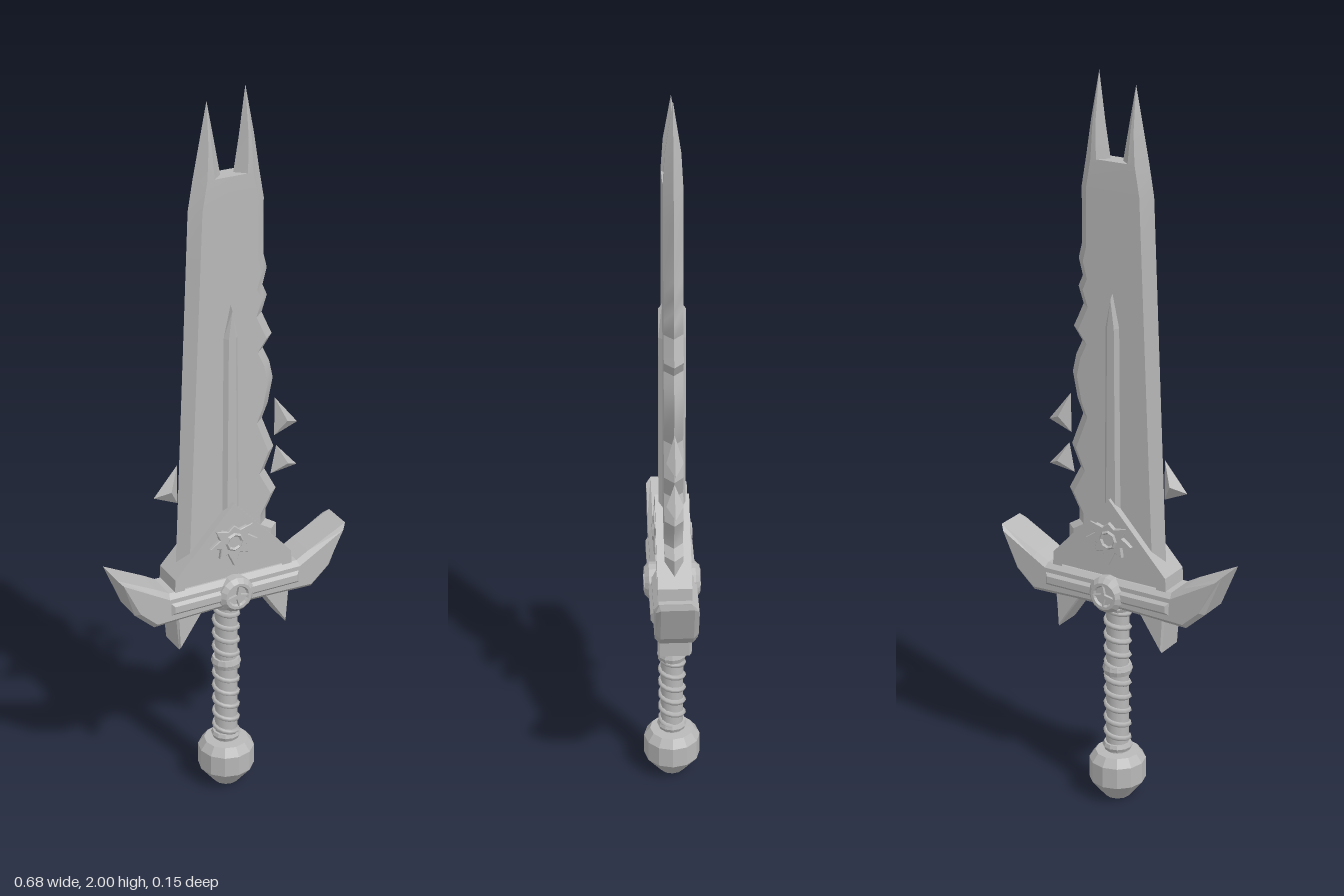
import * as THREE from 'three';
import { mergeGeometries, toCreasedNormals } from 'three/addons/utils/BufferGeometryUtils.js';
import { ConvexGeometry } from 'three/addons/geometries/ConvexGeometry.js';

const steel = new THREE.MeshStandardMaterial({ color: 0xb8b8b8 });
steel.name = 'grey steel';

function flat(geometry) {
  const g = geometry.index ? geometry.toNonIndexed() : geometry;
  g.computeVertexNormals();
  return g;
}

// Bevelled slab centred on z = 0
function slab(points, half, bevel) {
  const shape = new THREE.Shape(points.map(([x, y]) => new THREE.Vector2(x, y)));
  const g = new THREE.ExtrudeGeometry(shape, {
    depth: 2 * (half - bevel), bevelEnabled: bevel > 0, bevelSegments: 1,
    bevelSize: bevel, bevelThickness: bevel, bevelOffset: -bevel,
  });
  g.translate(0, 0, bevel - half);
  return g;
}

// Closed outline mirrored about x = 0, given its right half from top to bottom
function symmetric(half) {
  const left = half.filter(([x]) => x > 0).map(([x, y]) => [-x, y]);
  return [...half, ...left.reverse()];
}

// Hexagonal sharp-edged sections: rows of [y, left, right, half thickness]
function bladeLoft(rows) {
  const rings = rows.map(([y, l, r, t]) => {
    const b = Math.min(0.028, (r - l) * 0.4);
    return [[l, y, 0], [l + b, y, t], [r - b, y, t], [r, y, 0], [r - b, y, -t], [l + b, y, -t]];
  });
  const pos = [];
  const tri = (...p) => p.forEach((v) => pos.push(...v));
  for (let k = 0; k < rings.length - 1; k++) {
    for (let i = 0; i < 6; i++) {
      const j = (i + 1) % 6, lo = rings[k], hi = rings[k + 1];
      tri(lo[i], lo[j], hi[j]);
      tri(lo[i], hi[j], hi[i]);
    }
  }
  const bottom = rings[0], top = rings[rings.length - 1];
  for (let i = 1; i < 5; i++) {
    tri(bottom[0], bottom[i + 1], bottom[i]);
    tri(top[0], top[i], top[i + 1]);
  }
  const g = new THREE.BufferGeometry();
  g.setAttribute('position', new THREE.Float32BufferAttribute(pos, 3));
  return g;
}

export function createModel() {
  const model = new THREE.Group();
  const add = (name, geometry, parent = model) => {
    const mesh = new THREE.Mesh(geometry, steel);
    mesh.name = name;
    parent.add(mesh);
    return mesh;
  };

  // Blade: straight left edge, ragged right edge, forked tip
  const ragged = [
    [0.64, 0.15], [0.77, 0.15], [0.79, 0.118], [0.82, 0.118], [0.875, 0.148], [0.94, 0.113],
    [1.0, 0.14], [1.09, 0.105], [1.13, 0.122], [1.2, 0.136], [1.25, 0.125], [1.29, 0.106],
    [1.325, 0.132], [1.35, 0.12], [1.39, 0.102], [1.435, 0.117], [1.465, 0.104],
    [1.51, 0.116], [1.55, 0.106], [1.7, 0.106], [1.78, 0.092],
  ];
  const leftEdge = (y) => (y > 1.7 ? -0.092 : -0.148 + (y - 0.73) * 0.0433);
  const blade = bladeLoft(ragged.map(([y, r]) => [y, leftEdge(y), r, 0.025]));
  const leftFork = bladeLoft([[1.78, -0.092, -0.016, 0.025], [1.86, -0.076, -0.031, 0.02], [1.975, -0.053, -0.053, 0]]);
  const rightFork = bladeLoft([[1.78, 0.02, 0.092, 0.025], [1.87, 0.035, 0.078, 0.02], [2.0, 0.053, 0.053, 0]]);
  add('blade', toCreasedNormals(mergeGeometries([blade, leftFork, rightFork]), 0.5));

  // Raised spine down the middle of the blade
  add('bladeSpine', slab([[0, 1.44], [-0.02, 1.35], [-0.024, 0.84], [0.024, 0.84], [0.02, 1.35]], 0.035, 0.01));

  // Side spikes: pointed diamonds beside the blade
  const spikes = [
    [[0.142, 1.14], [0.21, 1.055], [0.142, 1.03]],
    [[0.148, 1.0], [0.21, 0.93], [0.132, 0.92]],
    [[-0.142, 1.01], [-0.21, 0.93], [-0.142, 0.9]],
  ];
  for (const corners of spikes) {
    const points = corners.map(([x, y]) => new THREE.Vector3(x, y, 0));
    const cx = corners[0][0] * 0.6 + corners[1][0] * 0.4;
    const cy = corners.reduce((s, c) => s + c[1], 0) / 3;
    for (const z of [-0.022, 0.022]) points.push(new THREE.Vector3(cx, cy, z));
    add('sideSpike', new ConvexGeometry(points));
  }

  // Triangular base plate with a raised rim
  add('basePlate', slab(symmetric([[0, 0.87], [0.155, 0.71], [0.155, 0.62]]), 0.038, 0.005));
  const rim = new THREE.Shape(symmetric([[0, 0.885], [0.172, 0.7], [0.175, 0.64]]).map((p) => new THREE.Vector2(...p)));
  rim.holes.push(new THREE.Path(symmetric([[0, 0.853], [0.145, 0.693], [0.145, 0.66]]).map((p) => new THREE.Vector2(...p))));
  const rimGeometry = new THREE.ExtrudeGeometry(rim, { depth: 0.09, bevelEnabled: false });
  rimGeometry.translate(0, 0, -0.045);
  add('basePlateRim', rimGeometry);

  // Crossguard with upswept wings
  add('crossguard', slab(symmetric([
    [0.338, 0.742], [0.29, 0.625], [0.235, 0.575], [0.06, 0.58],
  ]).slice(0, 4).concat([
    [-0.06, 0.58], [-0.235, 0.575], [-0.29, 0.625], [-0.338, 0.742],
    [-0.225, 0.685], [-0.19, 0.665], [0.19, 0.665], [0.225, 0.685],
  ]), 0.056, 0.013));

  // Hooked points below the guard
  for (const s of [1, -1]) {
    add('lowerPoint', slab([[s * 0.08, 0.6], [s * 0.16, 0.483], [s * 0.17, 0.6]], 0.045, 0.006));
  }

  // Ornaments repeated on the front and back
  for (const turn of [0, Math.PI]) {
    const side = new THREE.Group();
    side.name = turn ? 'backOrnaments' : 'frontOrnaments';
    side.rotation.y = turn;
    model.add(side);

    const bar = slab([[-0.19, 0.605], [0.19, 0.605], [0.19, 0.64], [-0.19, 0.64]], 0.02, 0.008);
    bar.translate(0, 0, 0.044);
    add('guardBar', bar, side);

    const disc = flat(new THREE.LatheGeometry([[0.05, 0], [0.05, 0.062], [0.038, 0.074], [0.03, 0.074], [0.026, 0.068], [0, 0.068]]
      .map((p) => new THREE.Vector2(...p)), 16));
    disc.rotateX(Math.PI / 2);
    disc.translate(0, 0.62, 0);
    add('medallion', disc, side);

    const starPoints = [];
    for (let i = 0; i < 8; i++) {
      const r = i % 2 ? 0.008 : 0.032, a = (i * Math.PI) / 4;
      starPoints.push([r * Math.cos(a), 0.62 + r * Math.sin(a)]);
    }
    const star = slab(starPoints, 0.004, 0);
    star.translate(0, 0, 0.072);
    add('medallionStar', star, side);

    // Spiky crest on the base plate
    const crest = slab(symmetric([
      [0, 0.82], [0.018, 0.805], [0.055, 0.815], [0.042, 0.785], [0.07, 0.765],
      [0.038, 0.757], [0.042, 0.73], [0.018, 0.738], [0, 0.7],
    ]), 0.006, 0.002);
    crest.translate(0, 0, 0.042);
    add('crest', crest, side);
    const boss = new THREE.TorusGeometry(0.022, 0.006, 4, 8);
    boss.translate(0, 0.772, 0.047);
    add('crestRing', flat(boss), side);
  }

  // Grip core with collars
  const core = new THREE.CylinderGeometry(0.031, 0.031, 0.46, 12);
  core.translate(0, 0.36, 0);
  add('grip', toCreasedNormals(core, 0.7));
  for (const [y, r, h] of [[0.155, 0.041, 0.02], [0.385, 0.041, 0.028], [0.57, 0.041, 0.02]]) {
    const collar = new THREE.LatheGeometry([[0.028, -h / 2], [r - 0.004, -h / 2], [r, 0], [r - 0.004, h / 2], [0.028, h / 2]]
      .map((p) => new THREE.Vector2(...p)), 12);
    collar.translate(0, y, 0);
    add('gripCollar', flat(collar));
  }

  // Spiral wrap around the grip
  const turns = 10, coil = [];
  for (let i = 0; i <= turns * 10; i++) {
    const a = (i / 10) * Math.PI * 2;
    coil.push(new THREE.Vector3(0.031 * Math.cos(a), 0.16 + (0.41 * i) / (turns * 10), 0.031 * Math.sin(a)));
  }
  add('gripWrap', new THREE.TubeGeometry(new THREE.CatmullRomCurve3(coil), turns * 14, 0.008, 5));

  // Faceted pommel
  const pommel = new THREE.LatheGeometry([[0, 0], [0.035, 0.004], [0.077, 0.056], [0.077, 0.115], [0.06, 0.138], [0, 0.14]]
    .map((p) => new THREE.Vector2(...p)), 12);
  add('pommel', flat(pommel));

  return model;
}
